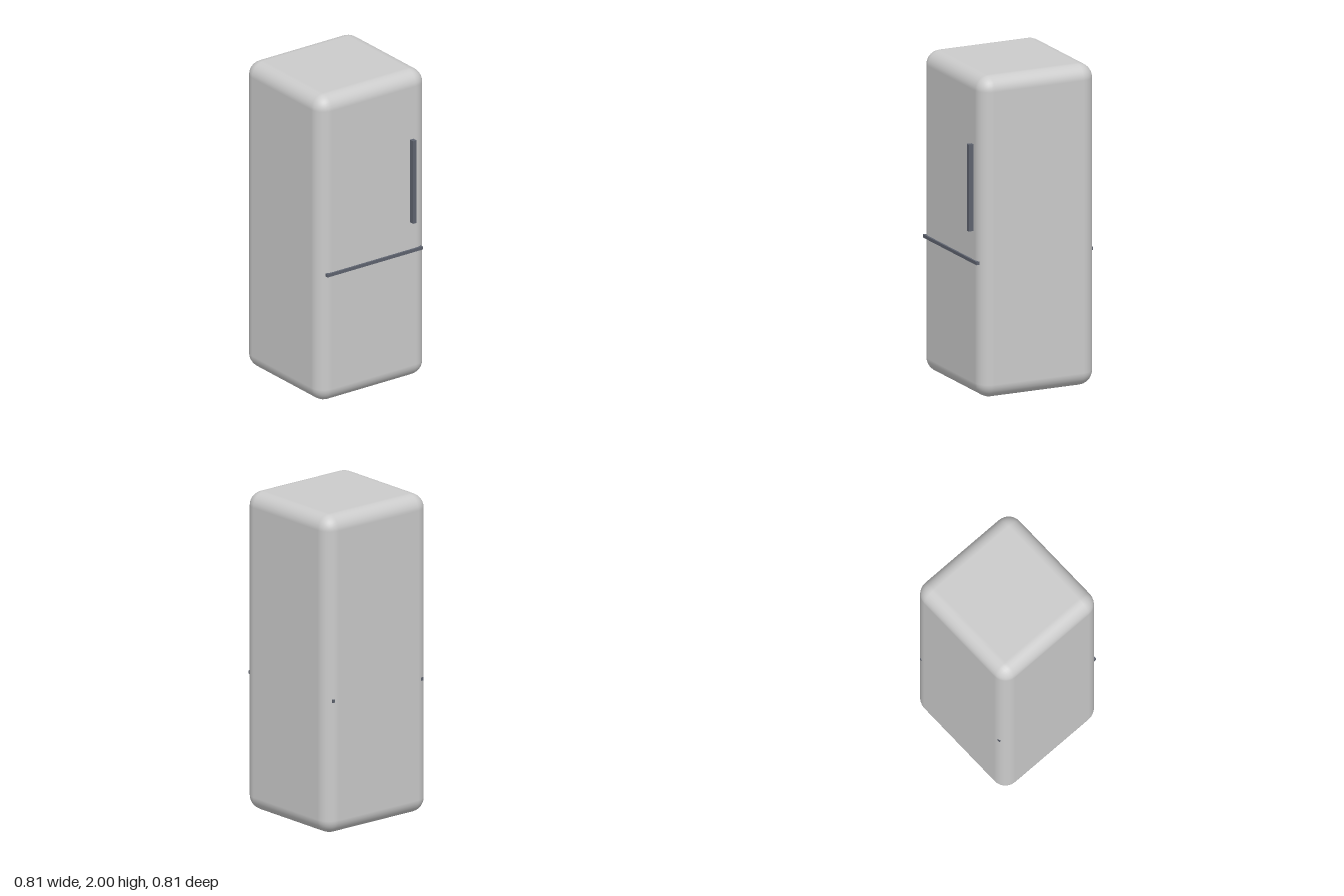
import * as THREE from 'three';
import { RoundedBoxGeometry } from 'three/addons/geometries/RoundedBoxGeometry.js';

export function createModel() {
  const model = new THREE.Group();
  model.name = 'refrigerator';
  const shell = new THREE.MeshStandardMaterial({ color: 0xcccccc });
  const trim = new THREE.MeshStandardMaterial({ color: 0x5f6470 });

  const add = (name, geometry, material, x, y, z) => {
    const mesh = new THREE.Mesh(geometry, material);
    mesh.name = name;
    mesh.position.set(x, y, z);
    model.add(mesh);
  };

  // Rounded cabinet
  add('cabinet', new RoundedBoxGeometry(0.808, 2, 0.776, 4, 0.09), shell, 0, 1, -0.016);

  // Seam between the two doors, running through the cabinet so its rear corners peek out
  add('doorSeam', new THREE.BoxGeometry(0.712, 0.02, 0.784), trim, 0, 0.845, -0.008);

  // Upright handle on the upper door
  add('doorHandle', new THREE.BoxGeometry(0.026, 0.54, 0.034), trim, 0.281, 1.302, 0.387);

  return model;
}
